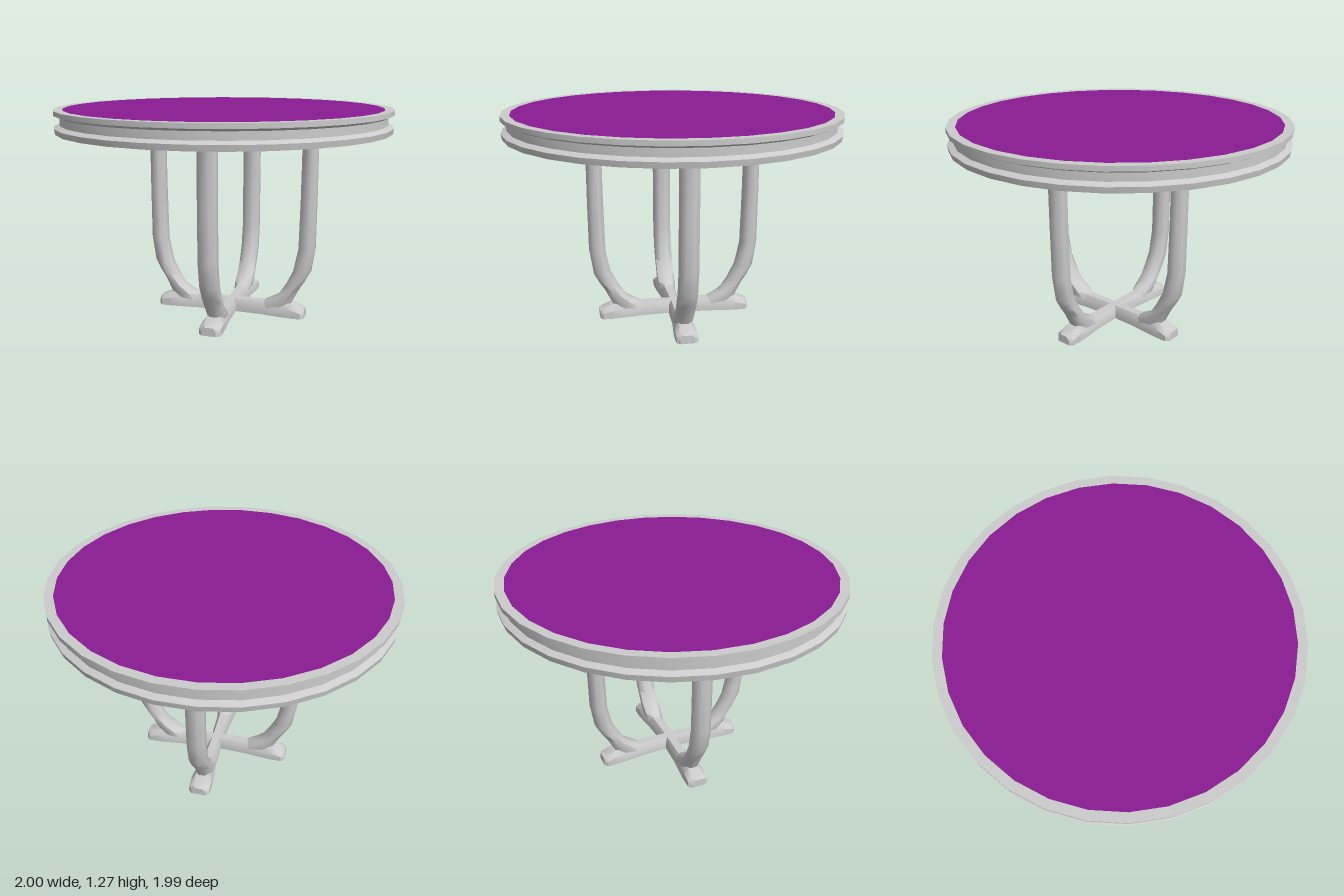
import * as THREE from 'three';
import { toCreasedNormals } from 'three/addons/utils/BufferGeometryUtils.js';

const grey = new THREE.MeshStandardMaterial({ color: 0xcccccc });
const purple = new THREE.MeshStandardMaterial({ color: 0x8a1c92 });
const CENTRE_X = 0.053; // the base stands slightly off the middle of the top

function mesh(name, geometry, material = grey) {
  const m = new THREE.Mesh(geometry, material);
  m.name = name;
  return m;
}

// Closed skin through equal-length rings of [x, y, z] points
function loft(rings, crease) {
  const n = rings[0].length, last = (rings.length - 1) * n, index = [];
  for (let i = 0; i < rings.length - 1; i++) {
    for (let j = 0; j < n; j++) {
      const a = i * n + j, b = i * n + (j + 1) % n;
      index.push(a, b, b + n, a, b + n, a + n);
    }
  }
  for (let j = 1; j < n - 1; j++) {
    index.push(0, j + 1, j, last, last + j, last + j + 1);
  }
  const g = new THREE.BufferGeometry();
  g.setAttribute('position', new THREE.Float32BufferAttribute(rings.flat(2), 3));
  g.setIndex(index);
  return toCreasedNormals(g, crease);
}

// Octagonal section between an outer and an inner point of the leg
function legRing([ro, yo, ri, yi, w]) {
  const k = 1 / Math.cos(Math.PI / 8), ring = [];
  for (let j = 0; j < 8; j++) {
    const a = (j + 0.5) * Math.PI / 4, c = Math.cos(a) * k;
    ring.push([
      (ro + ri) / 2 + (ro - ri) / 2 * c,
      (yo + yi) / 2 + (yo - yi) / 2 * c,
      -Math.sin(a) * k * w / 2,
    ]);
  }
  return ring;
}

// Foot section: flat underneath, bevelled on top
function footRing([r, h, w]) {
  return [
    [r, h, 0.28 * w], [r, 0.6 * h, 0.5 * w], [r, 0, 0.5 * w],
    [r, 0, -0.5 * w], [r, 0.6 * h, -0.5 * w], [r, h, -0.28 * w],
  ];
}

function capitalRing([r0, r1, y, w]) {
  return [[r1, y, w / 2], [r1, y, -w / 2], [r0, y, -w / 2], [r0, y, w / 2]];
}

// One arm of the base, pointing along +x
function createArm() {
  const arm = new THREE.Group();
  arm.name = 'baseArm';

  // outer radius, outer y, inner radius, inner y, width
  const legSections = [
    [0.36, 0.03, 0.18, 0.05, 0.10],
    [0.39, 0.09, 0.22, 0.085, 0.11],
    [0.435, 0.18, 0.30, 0.125, 0.11],
    [0.465, 0.225, 0.35, 0.20, 0.11],
    [0.50, 0.29, 0.395, 0.29, 0.11],
    [0.523, 0.44, 0.425, 0.43, 0.11],
    [0.525, 0.75, 0.432, 0.75, 0.11],
    [0.525, 1.11, 0.435, 1.11, 0.11],
  ];
  arm.add(mesh('leg', loft(legSections.map(legRing), 0.9)));

  // radius, height, width
  const footSections = [
    [0, 0.08, 0.075], [0.2, 0.08, 0.09], [0.33, 0.085, 0.12],
    [0.39, 0.085, 0.13], [0.45, 0.058, 0.13], [0.47, 0.05, 0.085],
  ];
  arm.add(mesh('foot', loft(footSections.map(footRing), 0.7)));

  // flared block under the top
  const capitalSections = [
    [0.435, 0.565, 1.085, 0.12], [0.432, 0.57, 1.1, 0.13], [0.425, 0.578, 1.139, 0.15],
  ];
  arm.add(mesh('capital', loft(capitalSections.map(capitalRing), 0.5)));

  const pad = mesh('mountingPad', new THREE.BoxGeometry(0.22, 0.004, 0.22), purple);
  pad.position.set(0.49, 1.138, 0);
  arm.add(pad);
  return arm;
}

export function createModel() {
  const table = new THREE.Group();
  table.name = 'roundTable';

  // grooved round top
  const profile = [
    [0, 1.14], [0.994, 1.14], [1, 1.172], [0.967, 1.188], [0.967, 1.232],
    [1, 1.246], [1, 1.273], [0.947, 1.273], [0.947, 1.27], [0, 1.27],
  ].map(([r, y]) => new THREE.Vector2(r, y));
  const top = mesh('tableTop', toCreasedNormals(new THREE.LatheGeometry(profile, 30), 0.4));
  top.rotation.y = Math.PI / 2;
  table.add(top);

  // coloured inlay and the small plug under the middle
  const inlay = mesh('topInlay', new THREE.CylinderGeometry(0.947, 0.947, 0.012, 30), purple);
  inlay.rotation.y = Math.PI / 2;
  inlay.position.y = 1.267;
  const plug = mesh('centrePlug', new THREE.CylinderGeometry(0.034, 0.034, 0.004, 12), purple);
  plug.position.y = 1.138;
  table.add(inlay, plug);

  // four arms in a cross
  const base = new THREE.Group();
  base.name = 'base';
  base.position.x = CENTRE_X;
  for (let i = 0; i < 4; i++) {
    const arm = createArm();
    arm.rotation.y = i * Math.PI / 2;
    base.add(arm);
  }
  table.add(base);
  return table;
}
